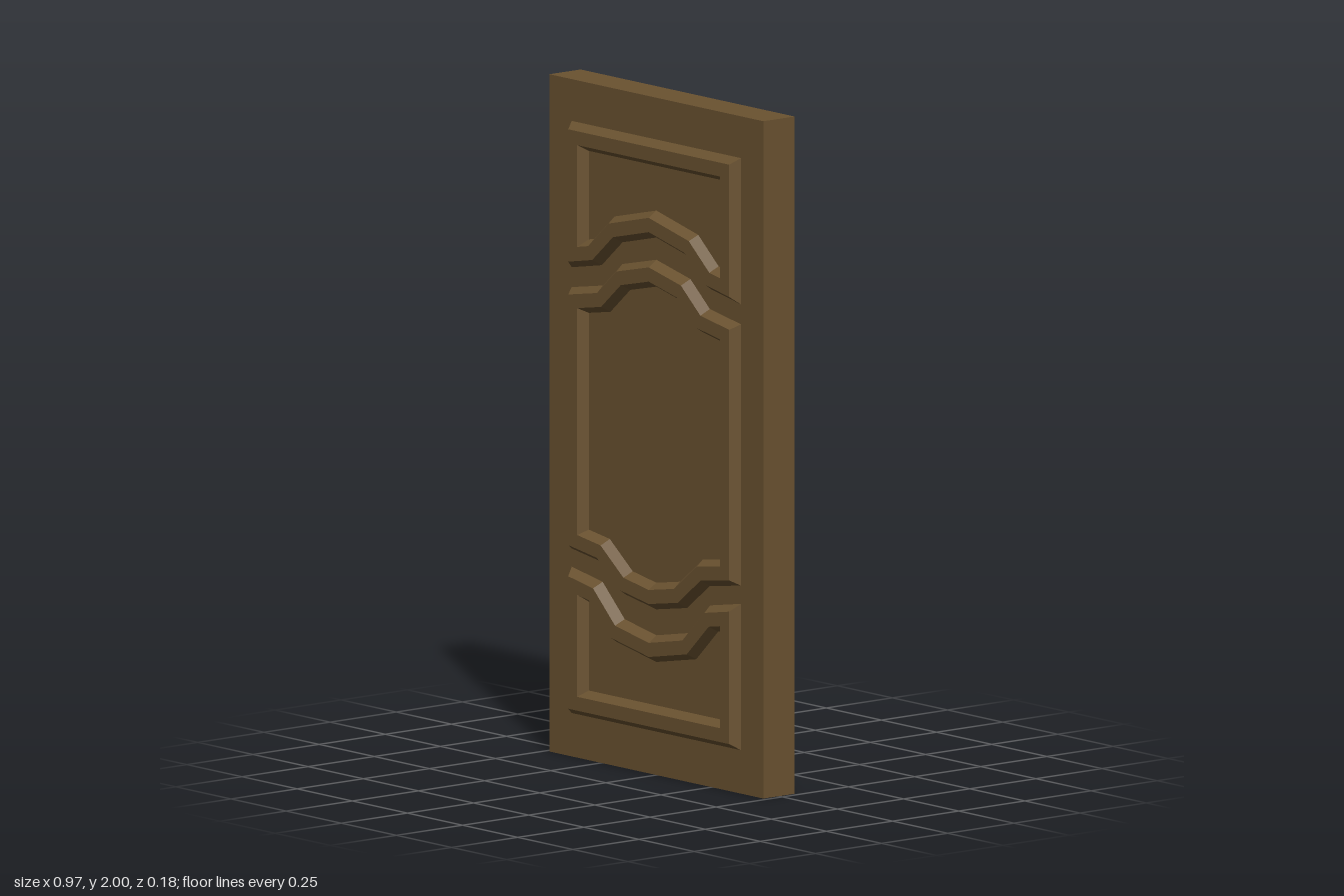
import * as THREE from 'three';

const HALF = 0.059;   // half thickness of the slab
const RAISED = 0.088; // height of the moulding crest

// Half of a curved rail (right to centre), completed by mirroring
const mirrorRail = (half) => [
  ...half,
  ...half.slice(0, -1).reverse().map(([x, y]) => [-x, y]),
];

// Mitred inward offset of a counter-clockwise outline
function inset(points, d) {
  const n = points.length;
  const normal = (a, b) => new THREE.Vector2(a[1] - b[1], b[0] - a[0]).normalize();
  return points.map((p, i) => {
    const n1 = normal(points[(i + n - 1) % n], p);
    const n2 = normal(p, points[(i + 1) % n]);
    const k = d / (1 + n1.dot(n2));
    return [p[0] + (n1.x + n2.x) * k, p[1] + (n1.y + n2.y) * k];
  });
}

// Bevelled frame: sloped outside, flat crest, sloped inside
function mouldingGeometry(outline) {
  const profile = [[0, HALF - 0.002], [0.02, RAISED], [0.061, RAISED], [0.08, HALF - 0.002]];
  const n = outline.length;
  const positions = [], index = [];
  profile.forEach(([d, z], r) => {
    inset(outline, d).forEach(([x, y]) => positions.push(x, y, z));
    if (r === profile.length - 1) return;
    for (let i = 0; i < n; i++) {
      const a = r * n + i, b = r * n + (i + 1) % n;
      index.push(a, b, b + n, a, b + n, a + n);
    }
  });
  const geometry = new THREE.BufferGeometry();
  geometry.setAttribute('position', new THREE.Float32BufferAttribute(positions, 3));
  geometry.setIndex(index);
  const flat = geometry.toNonIndexed();
  flat.computeVertexNormals();
  return flat;
}

export function createModel() {
  const door = new THREE.Group();
  door.name = 'door';
  const wood = new THREE.MeshStandardMaterial({ color: 0x6a5230 });
  wood.name = 'brown wood';
  const brass = new THREE.MeshStandardMaterial({ color: 0xb88a35 });
  brass.name = 'brass';

  const add = (parent, name, geometry, material) => {
    const mesh = new THREE.Mesh(geometry, material);
    mesh.name = name;
    parent.add(mesh);
    return mesh;
  };

  // Slab
  add(door, 'slab', new THREE.BoxGeometry(0.97, 2, HALF * 2), wood).position.y = 1;

  // Curved rails, each from the right corner to the centre
  const topLower = mirrorRail([[0.385, 1.443], [0.247, 1.469], [0.153, 1.55], [0, 1.586]]);
  const middleUpper = mirrorRail([[0.385, 1.387], [0.243, 1.412], [0.155, 1.488], [0, 1.523]]);
  const middleLower = mirrorRail([[0.385, 0.613], [0.243, 0.592], [0.14, 0.512], [0, 0.488]]);
  const bottomUpper = mirrorRail([[0.385, 0.562], [0.243, 0.537], [0.143, 0.441], [0, 0.414]]);

  // Counter-clockwise outlines of the three panels
  const outlines = {
    topMoulding: [[0.385, 1.878], [-0.385, 1.878], ...topLower.slice().reverse()],
    middleMoulding: [...middleUpper, ...middleLower.slice().reverse()],
    bottomMoulding: [...bottomUpper, [-0.385, 0.127], [0.385, 0.127]],
  };

  // Same mouldings on both faces
  for (const side of ['front', 'back']) {
    const face = new THREE.Group();
    face.name = side + 'Mouldings';
    if (side === 'back') face.rotation.y = Math.PI;
    for (const [name, outline] of Object.entries(outlines)) {
      add(face, name, mouldingGeometry(outline), wood);
    }
    door.add(face);
  }

  // Latch plate with clipped corners on the right edge
  const w = 0.039, h = 0.117, c = 0.014;
  const plate = new THREE.Shape([
    [-w + c, -h], [w - c, -h], [w, -h + c], [w, h - c],
    [w - c, h], [-w + c, h], [-w, h - c], [-w, -h + c],
  ].map(([x, y]) => new THREE.Vector2(x, y)));
  const latch = add(door, 'latchPlate',
    new THREE.ExtrudeGeometry(plate, { depth: 0.004, bevelEnabled: false }), brass);
  latch.rotation.y = -Math.PI / 2;
  latch.position.set(-0.483, 0.885, 0);

  return door;
}
